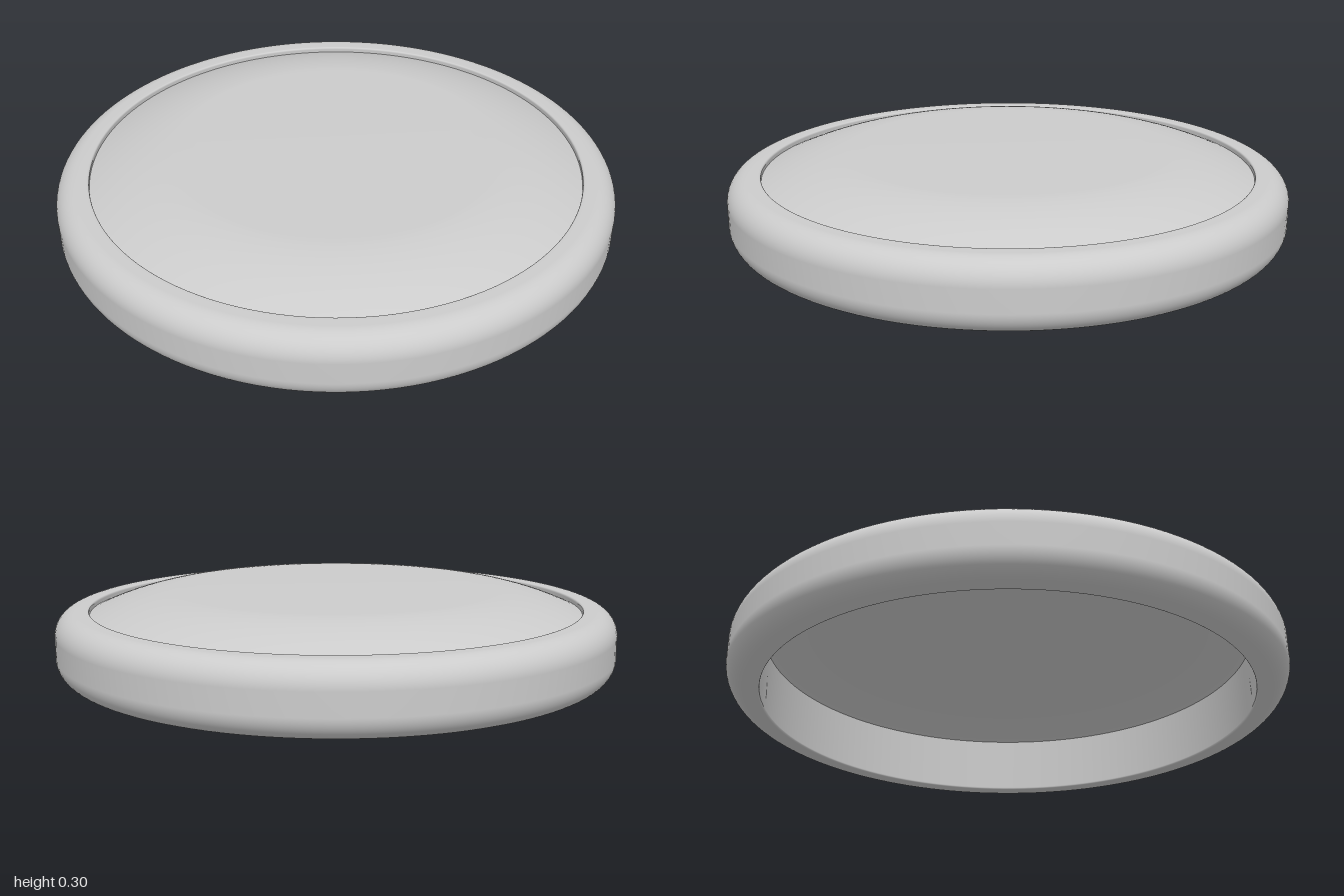
import * as THREE from 'three';

const SEGMENTS = 128;

// Revolve a 2D path (radius, height) around the vertical axis
function revolve(name, path, divisions) {
  const material = new THREE.MeshStandardMaterial({ color: 0xcccccc, side: THREE.DoubleSide });
  const mesh = new THREE.Mesh(new THREE.LatheGeometry(path.getPoints(divisions), SEGMENTS), material);
  mesh.name = name;
  return mesh;
}

export function createModel() {
  const group = new THREE.Group();
  group.name = 'domedDisc';

  const inner = 0.88, outer = 1, top = 0.237, round = 0.08, fillet = 0.008;

  // Outer ring: large rounded outer corners, tiny fillets on the inner wall
  const ring = new THREE.Path();
  ring.moveTo(inner, fillet);
  ring.quadraticCurveTo(inner, 0, inner + fillet, 0);
  ring.lineTo(outer - round, 0);
  ring.absarc(outer - round, round, round, -Math.PI / 2, 0, false);
  ring.absarc(outer - round, top - round, round, 0, Math.PI / 2, false);
  ring.lineTo(inner + fillet, top);
  ring.quadraticCurveTo(inner, top, inner, top - fillet);
  ring.lineTo(inner, fillet);
  group.add(revolve('outerRing', ring, 10));

  // Thin top panel: sloping shoulder easing into a nearly flat centre
  const panel = new THREE.Path();
  panel.moveTo(inner, 0.217);
  panel.quadraticCurveTo(0.72, 0.287, 0.58, 0.295);
  panel.lineTo(0.5, 0.297);
  panel.lineTo(0, 0.297);
  group.add(revolve('domedPanel', panel, 16));

  return group;
}
